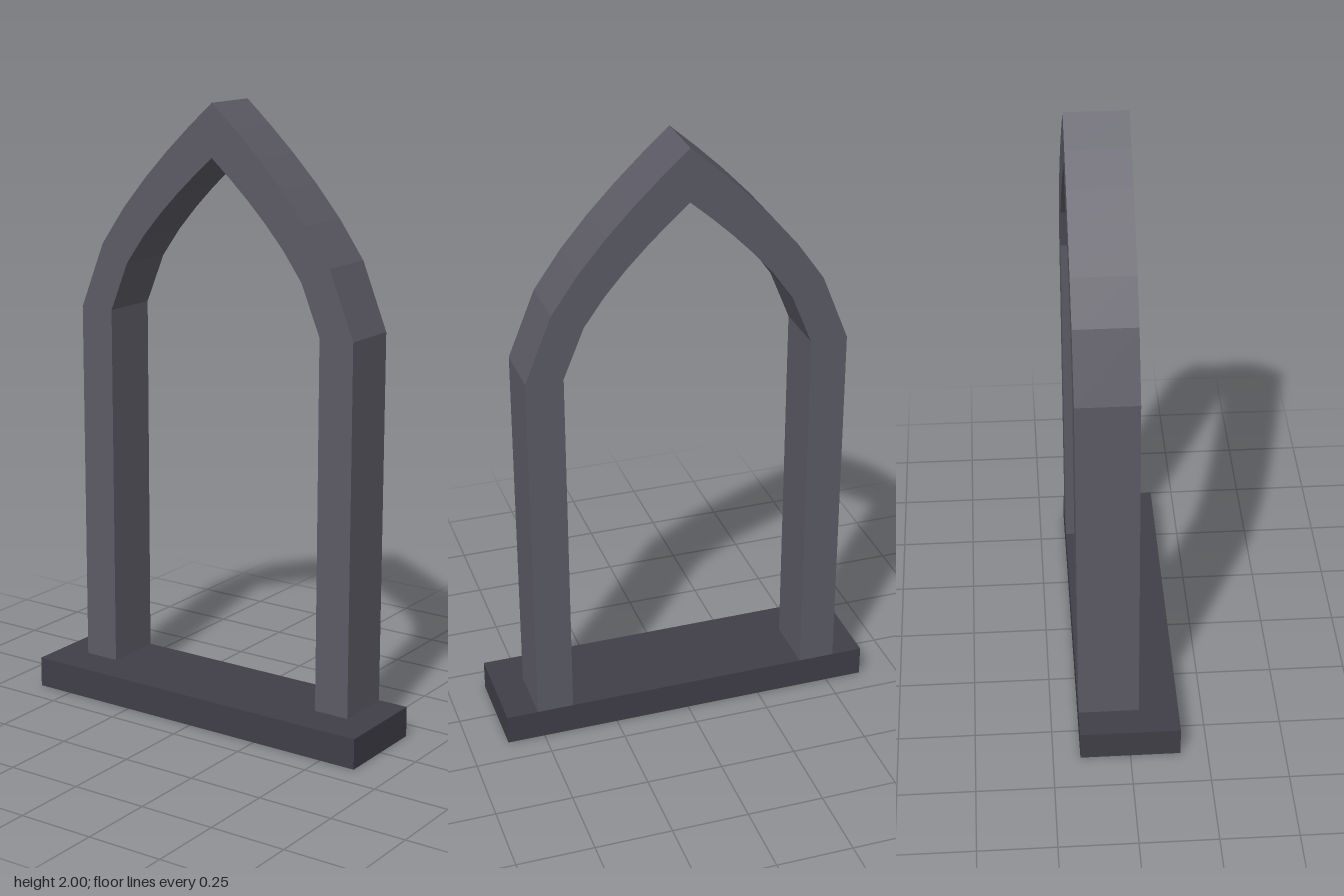
import * as THREE from 'three';

const SILL_TOP = 0.1, SPRING = 1.31, STEPS = 6;
const BACK = -0.162, FRONT = 0.034;

// Pointed-arch outline from left foot over the apex to right foot
function archOutline(halfWidth, apex) {
  const left = [[halfWidth, SILL_TOP]];
  for (let i = 0; i <= STEPS; i++) {
    const t = i / STEPS;
    left.push([halfWidth * (1 - t), SPRING + (apex - SPRING) * Math.pow(t, 0.65)]);
  }
  const right = left.slice(0, -1).reverse().map(([x, y]) => [-x, y]);
  return [...left, ...right].map(([x, y]) => new THREE.Vector2(x, y));
}

export function createModel() {
  const model = new THREE.Group();
  model.name = 'archedWindowFrame';

  // Posts and pointed arch as one faceted extrusion
  const outline = [...archOutline(0.52, 2), ...archOutline(0.4, 1.83).reverse()];
  const frameGeometry = new THREE.ExtrudeGeometry(new THREE.Shape(outline), {
    depth: FRONT - BACK, bevelEnabled: false,
  });
  frameGeometry.translate(0, 0, BACK);
  const frame = new THREE.Mesh(frameGeometry,
    new THREE.MeshStandardMaterial({ color: 0x5c5b65, flatShading: true }));
  frame.name = 'archFrame';
  model.add(frame);

  // Sill slab, flush with the frame at the back
  const sill = new THREE.Mesh(new THREE.BoxGeometry(1.246, SILL_TOP, 0.324),
    new THREE.MeshStandardMaterial({ color: 0x403f48, flatShading: true }));
  sill.name = 'sill';
  sill.position.y = SILL_TOP / 2;
  model.add(sill);

  return model;
}
